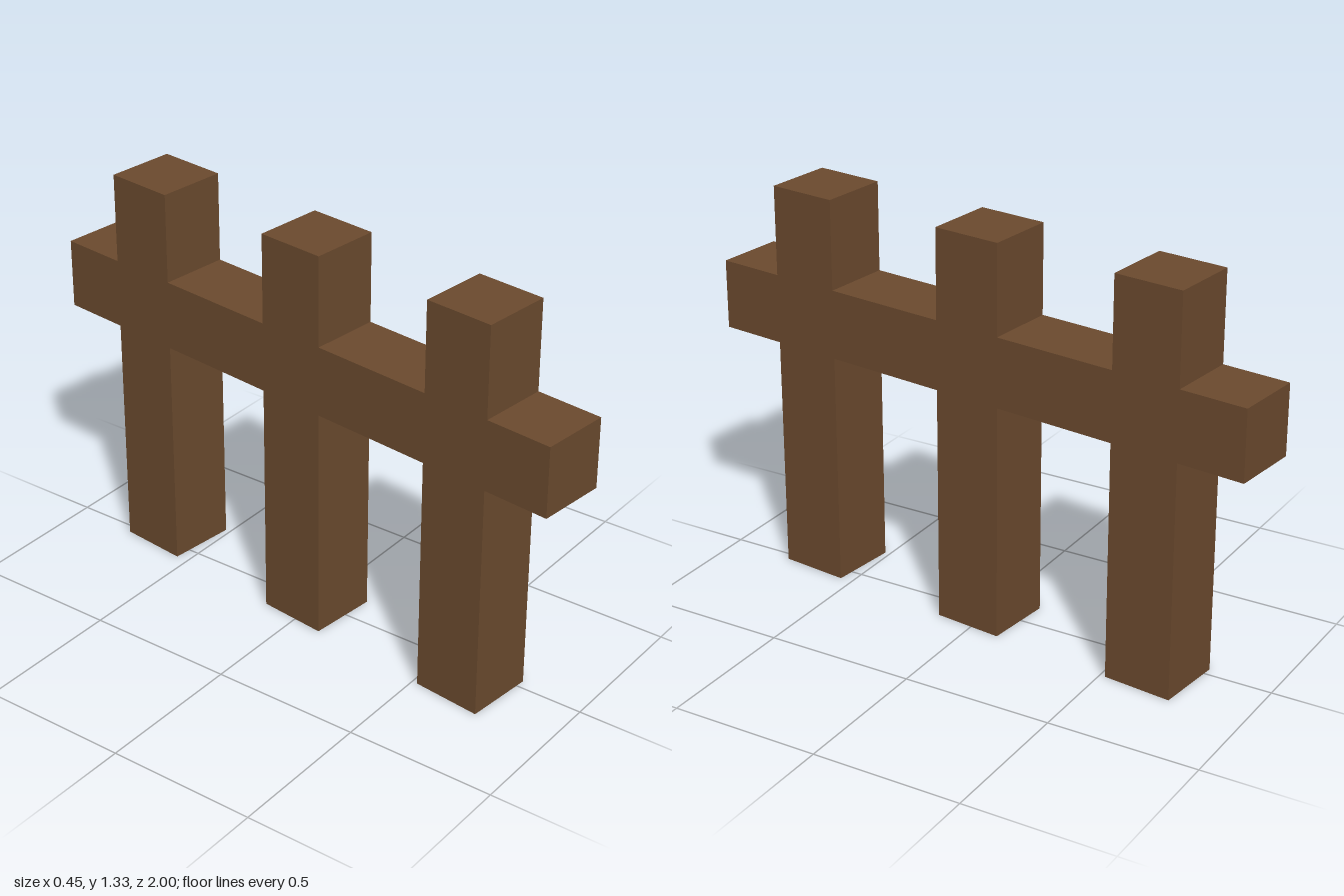
import * as THREE from 'three';

export function createModel() {
  const wood = new THREE.MeshStandardMaterial({ color: 0x6b4a2e });
  wood.name = 'brown wood';

  const model = new THREE.Group();
  model.name = 'fence';
  const beam = 0.233; // square timber thickness
  const spacing = 0.651, length = 1.986;
  const height = 1.326, railY = 0.909;

  const addBox = (name, h, d, y, z) => {
    const mesh = new THREE.Mesh(new THREE.BoxGeometry(beam, h, d), wood);
    mesh.name = name;
    mesh.position.set(0, y, z);
    model.add(mesh);
  };

  // Three upright posts
  const posts = [-spacing, 0, spacing];
  posts.forEach((z, i) => addBox(`post${i + 1}`, height, beam, height / 2, z));

  // Rail pieces fill the gaps between posts and overhang both ends, flush with the posts
  let start = -length / 2;
  [...posts, length / 2 + beam / 2].forEach((z, i) => {
    const end = z - beam / 2;
    addBox(`railSection${i + 1}`, beam, end - start, railY, (start + end) / 2);
    start = z + beam / 2;
  });

  // The whole fence stands slightly askew
  model.rotation.y = -0.11;
  const root = new THREE.Group();
  root.add(model);
  return root;
}
